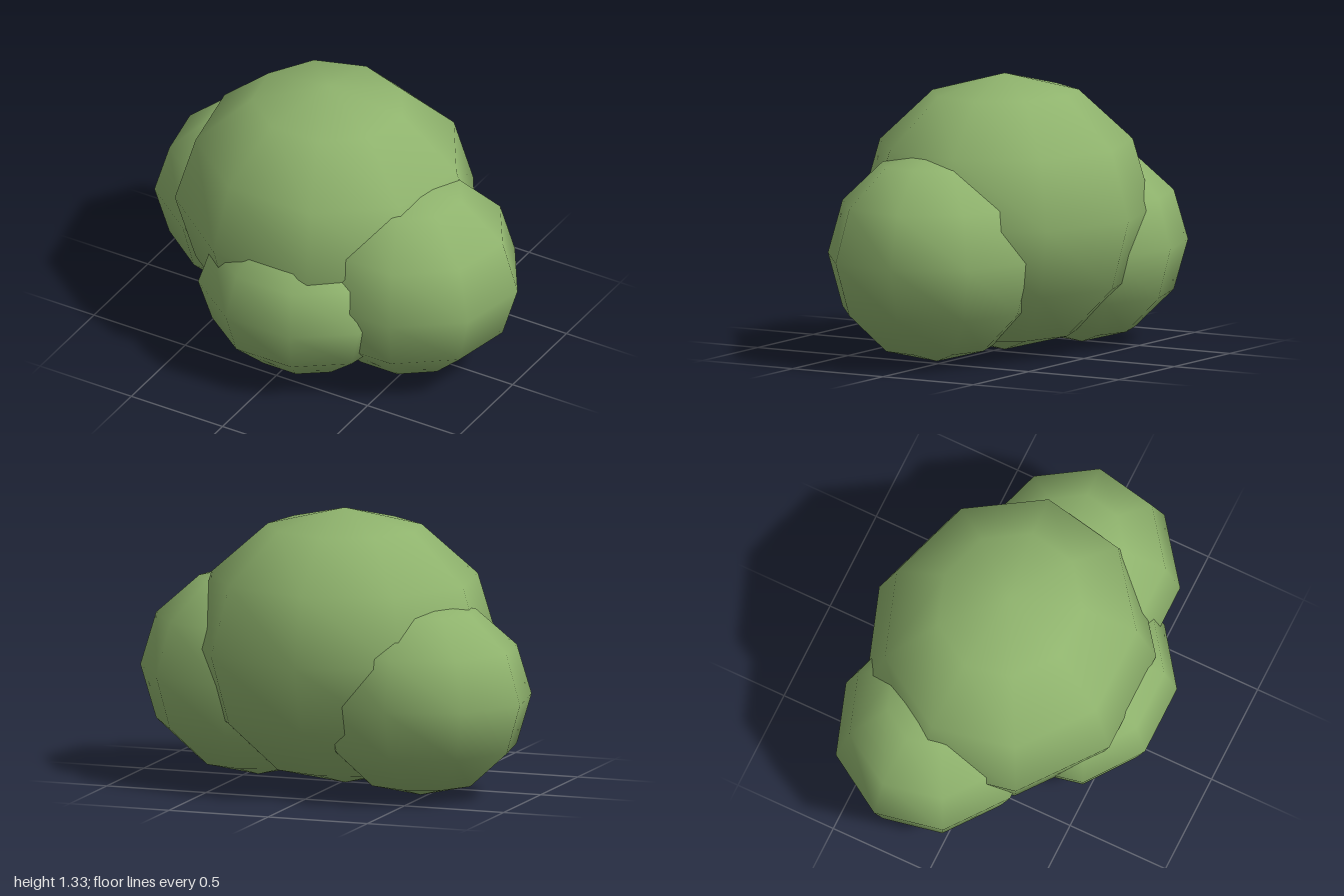
import * as THREE from 'three';

export function createModel() {
  const bush = new THREE.Group();
  bush.name = 'bush';

  const leafGreen = new THREE.MeshStandardMaterial({ color: 0x8fb36d });
  leafGreen.name = 'leafGreen';

  // Coarse smooth-shaded ball, turned so that one corner points to the back
  const ball = new THREE.SphereGeometry(1, 9, 6);
  ball.rotateY(-Math.PI / 2);

  // Each clump of leaves: name, centre, radii
  const clumps = [
    ['mainClump', [-0.03, 0.665, -0.043], [0.745, 0.66, 0.685]],
    ['leftClump', [0.44, 0.507, 0.045], [0.57, 0.507, 0.515]],
    ['rightClump', [-0.47, 0.475, -0.2], [0.54, 0.475, 0.49]],
    ['frontClump', [0.028, 0.41, 0.305], [0.51, 0.41, 0.443]],
  ];
  for (const [name, centre, radii] of clumps) {
    const clump = new THREE.Mesh(ball, leafGreen);
    clump.name = name;
    clump.position.set(...centre);
    clump.scale.set(...radii);
    bush.add(clump);
  }
  return bush;
}
